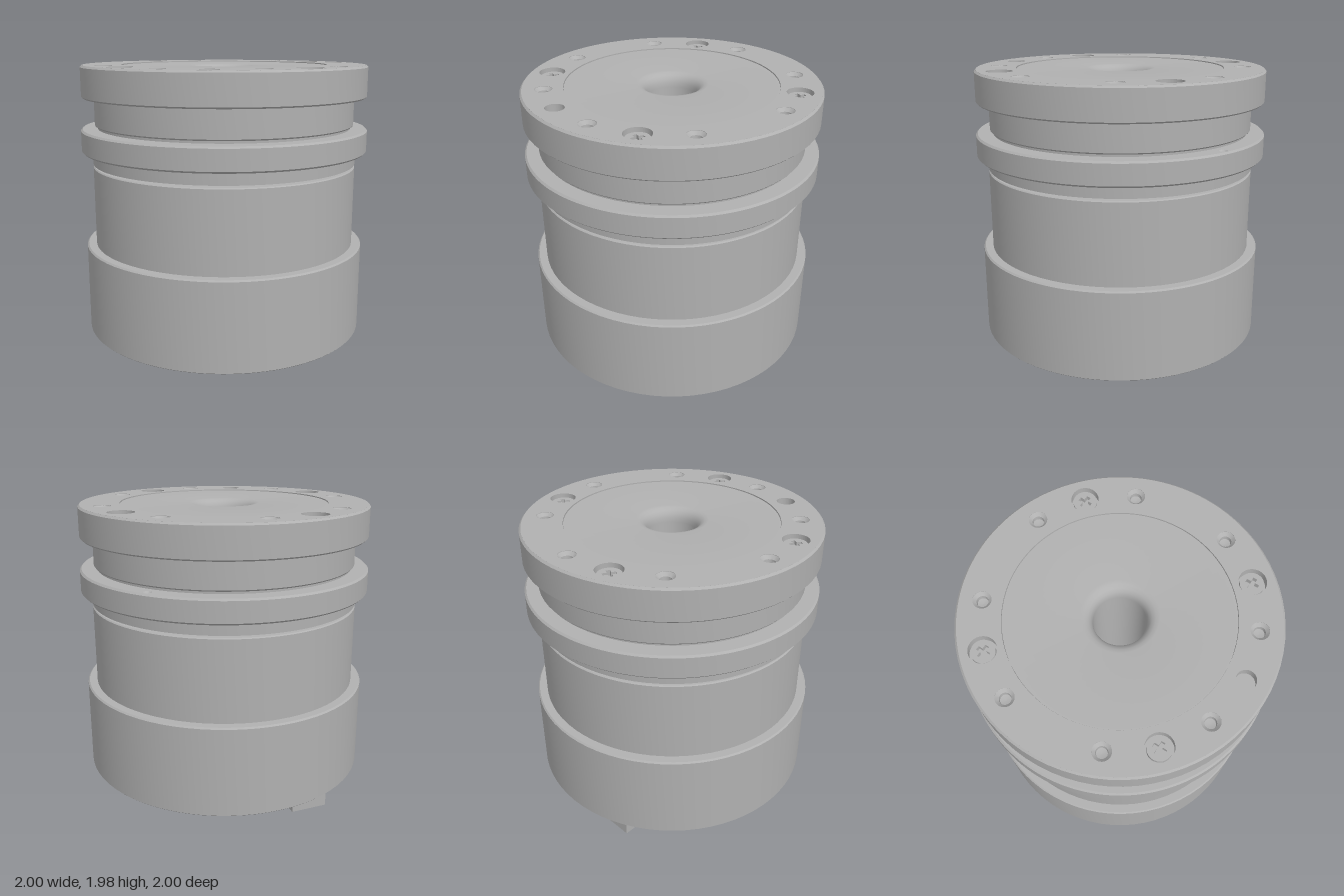
import * as THREE from 'three';
import { toCreasedNormals } from 'three/addons/utils/BufferGeometryUtils.js';

const SEG = 72;

export function createModel() {
  const model = new THREE.Group();
  model.name = 'roundActuator';
  const grey = new THREE.MeshStandardMaterial({ color: 0xb0b0b0 });
  grey.name = 'machinedGrey';

  const add = (name, geo, x = 0, y = 0, z = 0, turn = 0, parent = model) => {
    const mesh = new THREE.Mesh(geo, grey);
    mesh.name = name;
    mesh.position.set(x, y, z);
    mesh.rotation.y = turn;
    parent.add(mesh);
    return mesh;
  };
  const lathe = (pts, seg = SEG) =>
    toCreasedNormals(new THREE.LatheGeometry(pts.map(p => new THREE.Vector2(...p)), seg), 0.5);
  const circle = (Type, x, z, r) => new Type().absarc(x, -z, r, 0, Math.PI * 2, false);
  // Upright extrusion rising from y = 0
  const slab = (shape, depth, curveSegments, bevel = 0) => {
    const geo = new THREE.ExtrudeGeometry(shape, {
      depth: depth - 2 * bevel, curveSegments, bevelEnabled: bevel > 0,
      bevelSize: bevel, bevelThickness: bevel, bevelSegments: 1,
    });
    geo.rotateX(-Math.PI / 2).translate(0, bevel, 0);
    return toCreasedNormals(geo, 0.5);
  };
  const rect = (Type, w, d) => new Type([
    [-w / 2, -d / 2], [w / 2, -d / 2], [w / 2, d / 2], [-w / 2, d / 2],
  ].map(p => new THREE.Vector2(...p)));

  // Stepped body with a flared through bore and a shallow recess underneath
  add('body', lathe([
    [0.165, 0.115], [0.205, 0.115], [0.215, 0.14], [0.955, 0.14], [0.955, 0.12], [0.985, 0.12],
    [0.99, 0.125], [0.99, 0.725], [0.98, 0.735], [0.925, 0.735],
    [0.925, 1.283], [0.918, 1.29], [0.85, 1.29], [0.85, 1.305], [0.925, 1.305],
    [0.925, 1.5], [0.885, 1.5], [0.885, 1.567], [0.897, 1.567], [0.905, 1.576],
    [0.905, 1.755], [0.9, 1.762], [0.98, 1.762], [0.99, 1.772],
    [0.99, 1.967], [0.977, 1.98], [0.977, 1.92], [0.708, 1.92], [0.708, 1.973],
    [0.24, 1.973], [0.215, 1.968], [0.193, 1.955], [0.177, 1.935], [0.168, 1.91], [0.165, 1.88],
    [0.165, 0.115],
  ]));

  // Projecting collar with a small locating hole at the back
  const collar = circle(THREE.Shape, 0, 0, 0.988);
  collar.holes.push(circle(THREE.Path, 0, 0, 0.86), circle(THREE.Path, 0.17, -0.94, 0.028));
  add('collar', slab(collar, 0.16, SEG, 0.012), 0, 1.39, 0);

  // Top mounting ring: eight tapped holes, four screws and one dowel hole
  const polar = (r, deg) => {
    const a = THREE.MathUtils.degToRad(deg);
    return [r * Math.cos(a), r * Math.sin(a)];
  };
  const tapped = Array.from({ length: 8 }, (_, i) => polar(0.838, 8.2 + i * 45));
  const screws = Array.from({ length: 4 }, (_, i) => polar(0.838, 30.8 + i * 90));
  const ring = circle(THREE.Shape, 0, 0, 0.977);
  ring.holes.push(circle(THREE.Path, 0, 0, 0.71), circle(THREE.Path, ...polar(0.837, 75.5), 0.062));
  tapped.forEach(p => ring.holes.push(circle(THREE.Path, ...p, 0.058)));
  screws.forEach(p => ring.holes.push(circle(THREE.Path, ...p, 0.087)));
  add('topRing', slab(ring, 0.06, SEG), 0, 1.92, 0);

  const sink = lathe([[0.059, 1.978], [0.037, 1.957], [0.034, 1.932], [0, 1.923]], 20);
  tapped.forEach(([x, z]) => add('tappedHole', sink, x, 0, z));

  // Screw heads with a cross-shaped drive
  const head = circle(THREE.Shape, 0, 0, 0.075);
  const a = 0.013, b = 0.042;
  head.holes.push(new THREE.Path([
    [a, a], [a, b], [-a, b], [-a, a], [-b, a], [-b, -a], [-a, -a], [-a, -b], [a, -b], [a, -a], [b, -a], [b, a],
  ].map(p => new THREE.Vector2(...p))));
  const headGeo = slab(head, 0.035, 28);
  screws.forEach(([x, z]) => add('screwHead', headGeo, x, 1.92, z, 0.2));

  // Hollow bosses on the underside
  const boss = lathe([[0, 0.137], [0.045, 0.137], [0.045, 0.119], [0.068, 0.119], [0.082, 0.14]], 24);
  [[0.65, -0.58], [0.59, 0.65], [-0.66, 0.6], [-0.61, -0.63]]
    .forEach(([x, z]) => add('boss', boss, x, 0, z));
  const plug = new THREE.CylinderGeometry(0.045, 0.045, 0.01, 24);
  [[0.87, 0.04], [-0.44, -0.77]].forEach(([x, z]) => add('plug', plug, x, 0.136, z));

  // Connectors underneath share one skewed alignment
  const skew = -0.88;
  const socket = (name, x, z, w, d, low, pins, rows, pinLow, turn = skew) => {
    const group = new THREE.Group();
    group.name = name;
    group.position.set(x, 0, z);
    group.rotation.y = turn;
    const frame = rect(THREE.Shape, w, d);
    frame.holes.push(rect(THREE.Path, w - 0.05, d - 0.05));
    add('frame', slab(frame, 0.14 - low, 1), 0, low, 0, 0, group);
    const pin = new THREE.BoxGeometry(0.022, 0.14 - pinLow, 0.03);
    for (let r = 0; r < rows; r++) {
      for (let i = 0; i < pins; i++) {
        const px = ((i + 0.5) / pins - 0.5) * (w - 0.09);
        const pz = ((r + 0.5) / rows - 0.5) * (d - 0.06);
        add('pin', pin, px, (0.14 + pinLow) / 2, pz, 0, group);
      }
    }
    model.add(group);
  };
  socket('powerConnector', 0.65, -0.13, 0.36, 0.2, 0.08, 4, 2, 0.055);
  socket('signalConnector', 0.01, -0.67, 0.4, 0.16, 0.112, 6, 1, 0.118);
  socket('busConnector', -0.59, 0.17, 0.3, 0.15, 0.112, 4, 1, 0.116);
  socket('auxConnector', -0.43, 0.46, 0.19, 0.17, 0.112, 2, 1, 0.116);
  add('chip', new THREE.BoxGeometry(0.27, 0.03, 0.24), 0.14, 0.125, 0.72, skew);

  // Downward plug block with an open slot
  const port = rect(THREE.Shape, 0.16, 0.25);
  port.holes.push(rect(THREE.Path, 0.09, 0.17));
  add('portShell', slab(port, 0.14, 1), -0.715, 0, -0.425, skew);
  add('portTongue', new THREE.BoxGeometry(0.03, 0.11, 0.13), -0.715, 0.085, -0.425, skew);

  return model;
}
